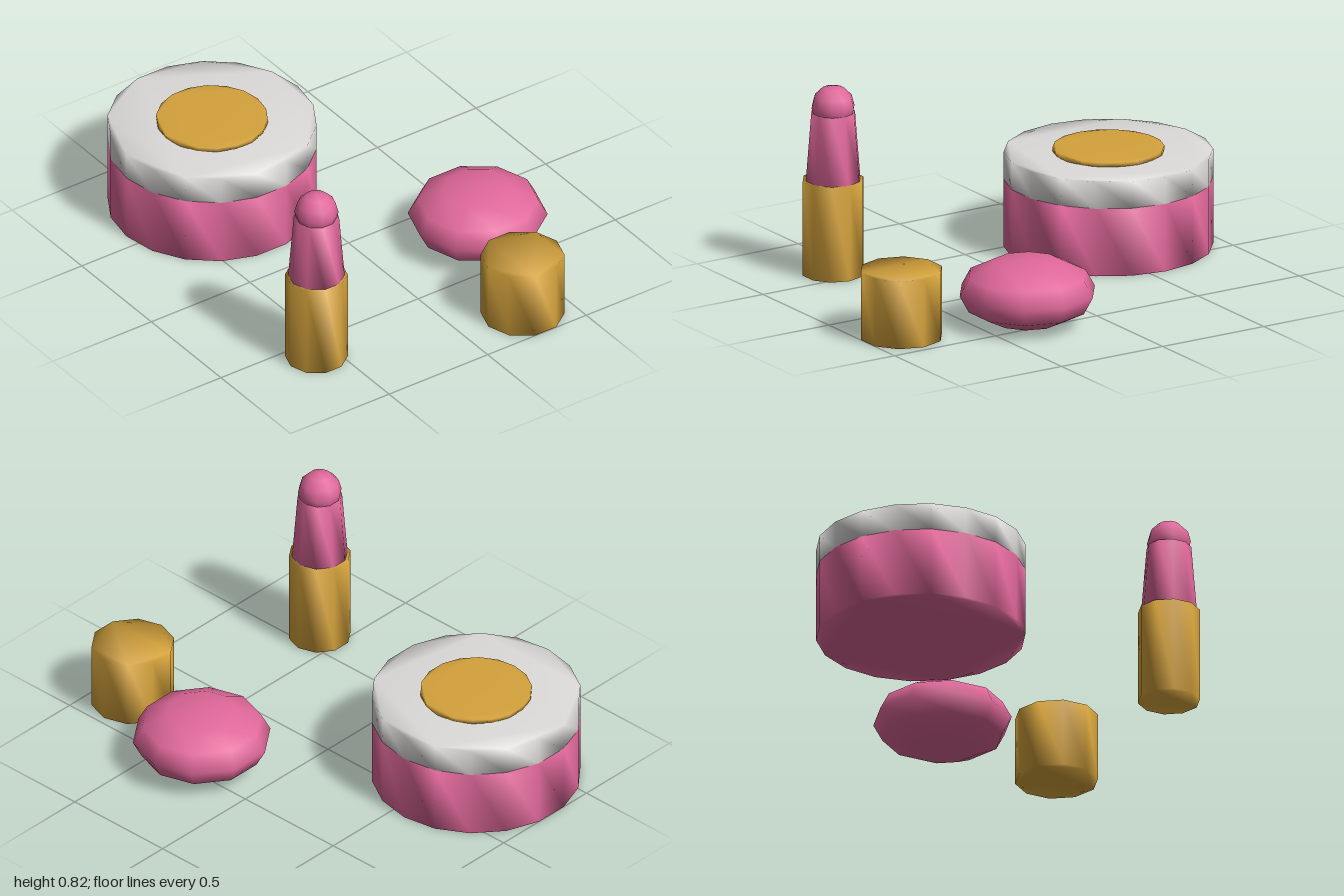
import * as THREE from 'three';
import { mergeVertices } from 'three/addons/utils/BufferGeometryUtils.js';

const mat = (name, color) => {
  const m = new THREE.MeshStandardMaterial({ color });
  m.name = name;
  return m;
};

// Low-poly prism from y = 0 to height with soft shading over its rim
function prism(sides, radius, height, topRadius = radius) {
  const points = [];
  for (let i = 0; i < sides; i++) {
    const a = (i / sides) * Math.PI * 2;
    points.push(new THREE.Vector2(Math.sin(a) * radius, -Math.cos(a) * radius));
  }
  let geo = new THREE.ExtrudeGeometry(new THREE.Shape(points), { depth: height, bevelEnabled: false });
  geo.rotateX(-Math.PI / 2);
  const pos = geo.attributes.position;
  const taper = topRadius / radius;
  for (let i = 0; i < pos.count; i++) {
    if (pos.getY(i) > height / 2) {
      pos.setX(i, pos.getX(i) * taper);
      pos.setZ(i, pos.getZ(i) * taper);
    }
  }
  geo.deleteAttribute('uv');
  geo.deleteAttribute('normal');
  geo.clearGroups();
  geo = mergeVertices(geo);
  geo.computeVertexNormals();
  return geo;
}

// Ten-sided ball with a corner facing the front
function ball(radius, halfHeight) {
  return new THREE.SphereGeometry(1, 10, 6).rotateY(Math.PI / 2).scale(radius, halfHeight, radius);
}

export function createModel() {
  const pink = mat('rosePink', 0xe0689a);
  const gold = mat('gold', 0xd4a23c);
  const silver = mat('paleSilver', 0xdddbda);

  const model = new THREE.Group();
  model.name = 'cosmeticsSet';

  const group = (name, x, z) => {
    const g = new THREE.Group();
    g.name = name;
    g.position.set(x, 0, z);
    model.add(g);
    return g;
  };
  const add = (parent, name, geo, material, y) => {
    const mesh = new THREE.Mesh(geo, material);
    mesh.name = name;
    mesh.position.y = y;
    parent.add(mesh);
  };

  // Powder jar
  const jar = group('powderJar', -0.571, 0.289);
  add(jar, 'jarBody', prism(18, 0.435, 0.293), pink, 0);
  add(jar, 'jarLid', prism(18, 0.435, 0.117), silver, 0.293);
  add(jar, 'lidDisc', prism(18, 0.232, 0.018), gold, 0.41);

  // Lipstick
  const lipstick = group('lipstick', 0.598, 0.585);
  add(lipstick, 'lipstickTube', prism(10, 0.13, 0.41), gold, 0);
  add(lipstick, 'lipstickStick', prism(10, 0.117, 0.29, 0.094), pink, 0.41);
  add(lipstick, 'lipstickTip', ball(0.092, 0.092), pink, 0.725);

  // Lipstick cap standing beside it
  const cap = group('lipstickCap', 0.833, -0.295);
  add(cap, 'capBody', prism(10, 0.174, 0.293), gold, 0);

  // Flattened powder puff
  const puff = group('powderPuff', 0.305, -0.44);
  add(puff, 'puffPad', ball(0.29, 0.145), pink, 0.145);

  return model;
}
